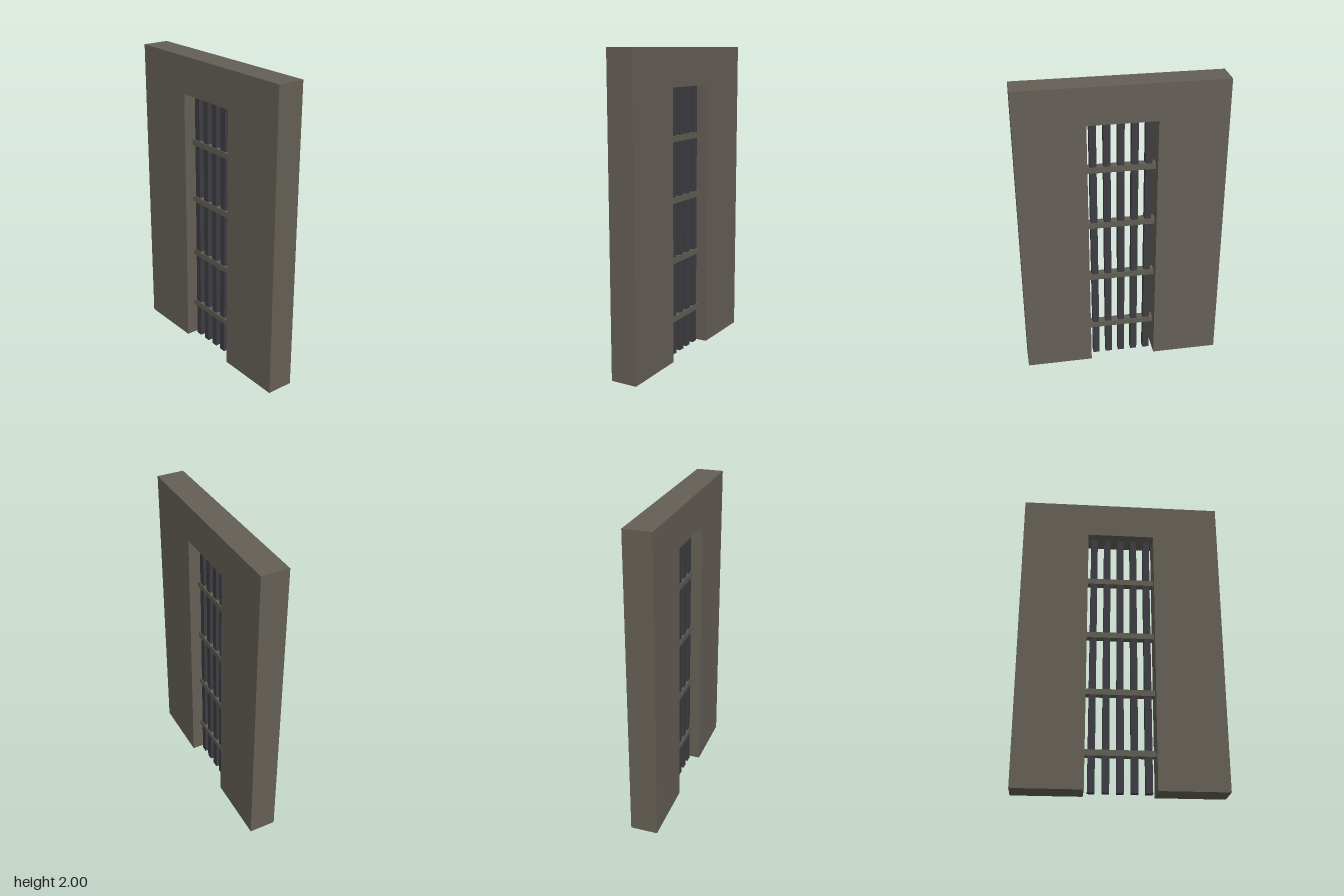
import * as THREE from 'three';

const stone = new THREE.MeshStandardMaterial({ name: 'stone', color: 0x645f56 });
const darkIron = new THREE.MeshStandardMaterial({ name: 'darkIron', color: 0x3d3c42 });
const agedIron = new THREE.MeshStandardMaterial({ name: 'agedIron', color: 0x5f5e53 });

export function createModel() {
  const model = new THREE.Group();
  model.name = 'barredGateway';

  // Wall: one slab with a doorway open at the floor
  const depth = 0.176;
  const outline = [[-0.66, 0], [-0.22, 0], [-0.22, 1.76], [0.22, 1.76], [0.22, 0], [0.66, 0], [0.66, 2], [-0.66, 2]];
  const shape = new THREE.Shape(outline.map(([x, y]) => new THREE.Vector2(x, y)));
  const wallGeometry = new THREE.ExtrudeGeometry(shape, { depth, bevelEnabled: false });
  wallGeometry.translate(0, 0, -depth / 2);
  const wall = new THREE.Mesh(wallGeometry, stone);
  wall.name = 'wall';
  model.add(wall);

  const grille = new THREE.Group();
  grille.name = 'grille';
  model.add(grille);

  function addBar(name, material, size, x, y) {
    const bar = new THREE.Mesh(new THREE.BoxGeometry(...size), material);
    bar.name = name;
    bar.position.set(x, y, 0);
    grille.add(bar);
  }

  // Five upright bars
  for (let i = -2; i <= 2; i++) {
    addBar('uprightBar', darkIron, [0.044, 1.76, 0.044], i * 0.088, 0.88);
  }

  // Four crossbars, slightly deeper than the uprights
  for (let i = 0; i < 4; i++) {
    addBar('crossBar', agedIron, [0.44, 0.038, 0.056], 0, 0.245 + i * 0.396);
  }

  return model;
}
